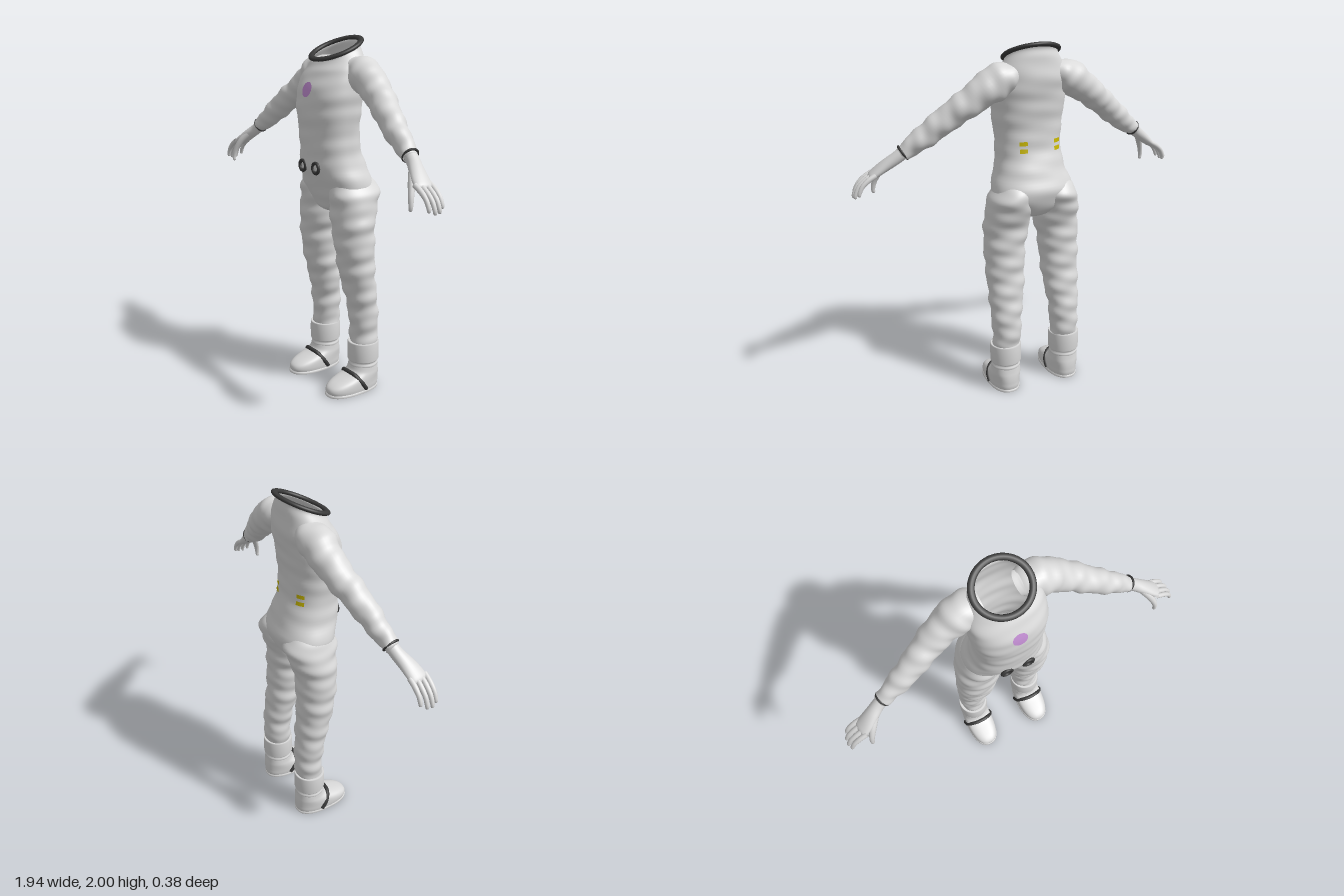
import * as THREE from 'three';

const paint = (name, color) => {
  const m = new THREE.MeshStandardMaterial({ color, side: THREE.DoubleSide });
  m.name = name;
  return m;
};

// Smoothly resample a list of numeric rows
function resample(rows, steps) {
  const out = [];
  const at = (i) => rows[Math.max(0, Math.min(rows.length - 1, i))];
  for (let i = 0; i < rows.length - 1; i++) {
    for (let k = 0; k < steps; k++) {
      const t = k / steps;
      out.push(rows[i].map((b, c) => {
        const a = at(i - 1)[c], d = at(i + 1)[c], e = at(i + 2)[c];
        return b + 0.5 * t * (d - a + t * (2 * a - 5 * b + 4 * d - e + t * (3 * (b - d) + e - a)));
      }));
    }
  }
  out.push(rows[rows.length - 1]);
  return out;
}

// Join closed rings of points into one smooth skin
function skin(rings) {
  const n = rings[0].length, pos = [], idx = [];
  rings.forEach((r) => r.forEach((p) => pos.push(p.x, p.y, p.z)));
  for (let i = 0; i < rings.length - 1; i++) {
    for (let j = 0; j < n; j++) {
      const a = i * n + j, b = i * n + (j + 1) % n;
      idx.push(a, a + n, b, b, a + n, b + n);
    }
  }
  const g = new THREE.BufferGeometry();
  g.setAttribute('position', new THREE.Float32BufferAttribute(pos, 3));
  g.setIndex(idx);
  g.computeVertexNormals();
  return g;
}

// Cloth folds, between -1 and 1
const fold = (s, t) =>
  0.6 * Math.sin(s * 44 + 2.2 * Math.sin(t + 1)) + 0.4 * Math.sin(s * 73 - 2.7 * Math.cos(t) + 1);
const power = (v, n) => Math.sign(v) * Math.abs(v) ** (2 / n);
const angles = (n) => Array.from({ length: n }, (_, j) => (j / n) * Math.PI * 2);

// Upright form; rows: y, centre x, half width, back z, front z, forward tilt
function upright(rows, { n = 2.3, amp = 0, sides = 48, side = 1 } = {}) {
  return skin(rows.map(([y, cx, hw, zb, zf, tilt = 0]) => angles(sides).map((t) => {
    const f = amp * fold(y + (side < 0 ? 0.3 : 0), t);
    const z = (zf + zb) / 2 + ((zf - zb) / 2 + f) * power(Math.sin(t), n);
    return new THREE.Vector3(side * cx + (hw + f) * power(Math.cos(t), n), y - tilt * z, z);
  })));
}

// Limb along a path; rows: x, y, z, thickness radius, depth radius
function limb(rows, { side = 1, amp = 0, sides = 24, steps = 5 } = {}) {
  const r = resample(rows.map(([x, ...q]) => [x * side, ...q]), steps);
  const pt = (i) => new THREE.Vector3(...r[Math.max(0, Math.min(r.length - 1, i))].slice(0, 3));
  return skin(r.map(([x, , , a, b], i) => {
    const T = pt(i + 1).sub(pt(i - 1)).normalize();
    const U = T.clone().cross(new THREE.Vector3(0, 0, 1)).normalize();
    const V = U.clone().cross(T);
    return angles(sides).map((t) => {
      const f = amp * fold(Math.abs(x) * 1.25, t);
      return pt(i).addScaledVector(U, (a + f) * Math.cos(t)).addScaledVector(V, (b + f) * Math.sin(t));
    });
  }));
}

const TORSO = resample([
  [1.03, 0, .03, -.05, .02, 0], [1.06, 0, .11, -.12, .08, 0], [1.12, 0, .2, -.165, .105, 0],
  [1.2, 0, .235, -.185, .135, 0], [1.3, 0, .203, -.155, .168, 0], [1.4, 0, .186, -.12, .174, 0],
  [1.5, 0, .188, -.11, .18, 0], [1.6, 0, .2, -.115, .188, 0], [1.68, 0, .207, -.125, .185, 0],
  [1.75, 0, .208, -.135, .165, 0], [1.82, 0, .2, -.142, .13, .05], [1.88, 0, .168, -.132, .1, .25],
  [1.912, 0, .147, -.122, .095, .42], [1.93, 0, .148, -.138, .115, .45],
], 6);

// Depth of the torso surface at x, y; dir +1 is front, -1 is back
function torsoZ(x, y, dir) {
  const i = Math.max(1, TORSO.findIndex((r) => r[0] > y));
  const A = TORSO[i - 1], B = TORSO[i], k = (y - A[0]) / (B[0] - A[0]);
  const [hw, zb, zf] = [2, 3, 4].map((c) => A[c] + (B[c] - A[c]) * k);
  return (zf + zb) / 2 + dir * (zf - zb) / 2 * (1 - Math.abs(x / hw) ** 2.3) ** (1 / 2.3);
}

// Lay a flat patch onto the torso
function patch(g, x, y, dir) {
  if (dir < 0) g.rotateY(Math.PI);
  g.translate(x, y, 0);
  const p = g.attributes.position;
  for (let i = 0; i < p.count; i++) p.setZ(i, torsoZ(p.getX(i), p.getY(i), dir) + dir * 0.005);
  g.computeVertexNormals();
  return g;
}

export function createModel() {
  const suit = paint('suit white', 0xd9d9d9);
  const dark = paint('dark rubber', 0x3a3a3a);
  const purple = paint('chest purple', 0xc48fd4);
  const yellow = paint('back yellow', 0xc9b800);
  const model = new THREE.Group();
  model.name = 'spaceSuit';
  const add = (name, geometry, material, parent = model) => {
    const m = new THREE.Mesh(geometry, material);
    m.name = name;
    parent.add(m);
    return m;
  };

  // Torso with open neck and its tilted ring
  add('torso', upright(TORSO, { amp: 0.003, sides: 64 }), suit);
  const collar = add('neckRing', new THREE.TorusGeometry(.146, .018, 12, 56), dark);
  collar.scale.set(1, .95, .65);
  collar.rotation.x = -66 * Math.PI / 180;
  collar.position.set(0, 1.933, -.013);

  // Chest disc and back patches
  add('chestPatch', patch(new THREE.RingGeometry(0, .04, 28, 3), 0, 1.72, 1), purple);
  for (const x of [.085, -.12]) for (const y of [1.425, 1.465]) {
    add('backPatch', patch(new THREE.PlaneGeometry(.042, .022, 4, 2), x, y, -1), yellow);
  }

  for (const s of [1, -1]) {
    const half = new THREE.Group();
    half.name = s > 0 ? 'leftSide' : 'rightSide';
    model.add(half);

    // Hose port on the belly
    const port = add('hosePort', new THREE.TorusGeometry(.028, .0095, 10, 28), dark, half);
    port.position.set(s * .063, 1.3, torsoZ(.063, 1.3, 1) + .005);

    // Sleeve
    add('sleeve', limb([
      [.1, 1.835, -.045, .05, .07], [.15, 1.825, -.046, .075, .088], [.215, 1.795, -.045, .095, .096],
      [.3, 1.742, -.038, .083, .085], [.38, 1.685, -.022, .076, .078], [.45, 1.635, 0, .071, .072],
      [.53, 1.573, .022, .067, .065], [.6, 1.52, .038, .061, .058], [.66, 1.477, .05, .05, .048],
      [.705, 1.447, .058, .041, .041], [.71, 1.443, .059, .03, .03],
    ], { side: s, amp: .005, sides: 32, steps: 7 }), suit, half);
    const wrist = add('wristRing', new THREE.TorusGeometry(.04, .0065, 8, 32), dark, half);
    wrist.position.set(s * .703, 1.449, .058);
    wrist.quaternion.setFromUnitVectors(new THREE.Vector3(0, 0, 1),
      new THREE.Vector3(s * .81, -.56, .15).normalize());

    // Glove: palm, four fingers and thumb
    add('palm', limb([
      [.69, 1.458, .055, .034, .034], [.74, 1.42, .068, .033, .035], [.79, 1.385, .088, .03, .043],
      [.84, 1.348, .106, .024, .05], [.87, 1.326, .112, .017, .045], [.882, 1.317, .114, .001, .002],
    ], { side: s }), suit, half);
    [[.068, .86], [.098, 1], [.128, 1.02], [.156, .92]].forEach(([z, k]) => {
      const p = (dx, dy, r) => [.85 + dx * k, 1.34 + dy * k, z, r, r];
      add('finger', limb([p(0, 0, .014), p(.045, -.025, .014), p(.085, -.06, .0125),
        p(.106, -.1, .011), p(.108, -.118, .008), p(.108, -.122, .0005)],
      { side: s, sides: 12, steps: 4 }), suit, half);
    });
    add('thumb', limb([
      [.775, 1.39, .105, .02, .02], [.81, 1.345, .14, .02, .018], [.835, 1.29, .164, .015, .015],
      [.845, 1.245, .173, .012, .012], [.843, 1.222, .174, .009, .009], [.842, 1.215, .174, .0005, .0005],
    ], { side: s, sides: 12 }), suit, half);

    // Trouser leg
    add('trouserLeg', upright(resample([
      [.25, .187, .075, -.145, -.005], [.3, .185, .08, -.152, 0], [.4, .184, .084, -.158, .005],
      [.5, .182, .092, -.15, .015], [.6, .175, .103, -.14, .035], [.7, .172, .11, -.13, .062],
      [.8, .17, .115, -.128, .08], [.9, .165, .12, -.128, .094], [1, .153, .131, -.135, .1],
      [1.1, .143, .128, -.17, .105], [1.17, .135, .115, -.19, .113], [1.24, .12, .09, -.145, .1],
    ], 9), { side: s, amp: .006, n: 2.1 }), suit, half);

    // Boot: padded cuff, ankle band, shoe, sole and strap
    const cuff = [[.07, .286], [.086, .29], [.09, .284], [.091, .235], [.09, .18], [.086, .174],
      [.08, .172], [.079, .162], [.084, .158], [.085, .148], [.08, .142], [.079, .12]];
    add('bootCuff', new THREE.LatheGeometry(
      cuff.reverse().map((q) => new THREE.Vector2(...q)), 40), suit, half).position.set(s * .19, 0, -.071);
    add('shoe', upright(resample([
      [.012, .19, .084, -.156, .175], [.03, .19, .087, -.16, .18], [.05, .19, .088, -.16, .172],
      [.068, .19, .088, -.16, .145], [.085, .19, .087, -.159, .1], [.102, .19, .085, -.157, .052],
      [.12, .19, .082, -.154, .022], [.15, .19, .079, -.15, .01],
    ], 4), { side: s, n: 2.4 }), suit, half);
    add('sole', upright([
      [0, .19, .001, -.001, .001], [0, .19, .084, -.156, .176], [0, .19, .088, -.16, .182],
      [.014, .19, .088, -.16, .182], [.015, .19, .08, -.15, .17],
    ], { side: s, n: 2.4 }), suit, half);
    const strap = [[-.088, .024, -.03], [-.086, .068, 0], [-.055, .108, .026], [0, .117, .035],
      [.055, .108, .026], [.086, .068, 0], [.088, .024, -.03]];
    add('bootStrap', new THREE.TubeGeometry(new THREE.CatmullRomCurve3(
      strap.map(([x, y, z]) => new THREE.Vector3(s * .19 + x, y, z))), 40, .012, 8), dark, half);
  }
  return model;
}
